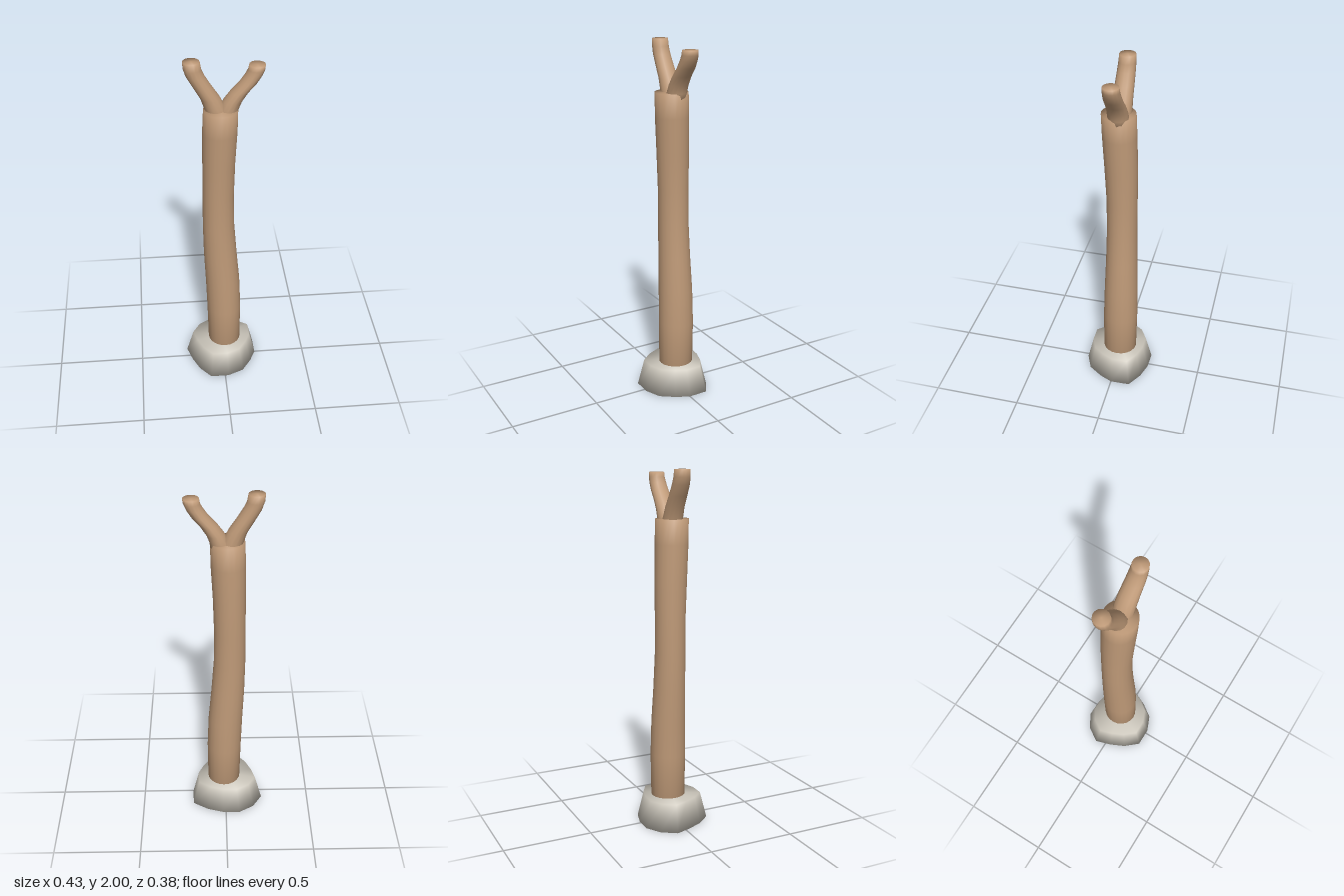
import * as THREE from 'three';

const wood = new THREE.MeshStandardMaterial({ color: 0xbf9a78 });
const stone = new THREE.MeshStandardMaterial({ color: 0xcbc6bb });

// Closed skin over a stack of rings (bottom to top), smooth over shared corners
function loft(name, rings, material) {
  const n = rings[0].length, points = rings.flat(), index = [];
  for (let i = 0; i < rings.length - 1; i++) {
    for (let j = 0; j < n; j++) {
      const a = i * n + j, b = i * n + (j + 1) % n;
      index.push(a, a + n, b, b, a + n, b + n);
    }
  }
  const mean = ring => ring.reduce((s, p) => s.add(p), new THREE.Vector3()).divideScalar(n);
  const bottom = points.push(mean(rings[0])) - 1;
  const top = points.push(mean(rings[rings.length - 1])) - 1;
  const last = (rings.length - 1) * n;
  for (let j = 0; j < n; j++) {
    const k = (j + 1) % n;
    index.push(bottom, j, k, top, last + k, last + j);
  }
  const geometry = new THREE.BufferGeometry().setFromPoints(points);
  geometry.setIndex(index);
  geometry.computeVertexNormals();
  const mesh = new THREE.Mesh(geometry, material);
  mesh.name = name;
  return mesh;
}

// Level oval ring from its extents: [y, xMin, xMax, zMin, zMax]
function oval([y, x0, x1, z0, z1], sides) {
  return Array.from({ length: sides }, (_, j) => {
    const a = (j / sides) * Math.PI * 2;
    return new THREE.Vector3(
      (x0 + x1) / 2 + Math.cos(a) * (x1 - x0) / 2, y,
      (z0 + z1) / 2 + Math.sin(a) * (z1 - z0) / 2);
  });
}

const limb = (name, rows, sides) => loft(name, rows.map(r => oval(r, sides)), wood);

export function createModel() {
  const model = new THREE.Group();
  model.name = 'forkedPost';

  // Irregular tapered foot
  const outline = [
    [-0.08, -0.193], [0.02, -0.19], [0.11, -0.163], [0.197, -0.11], [0.2, 0], [0.165, 0.075],
    [0.11, 0.152], [0.02, 0.19], [-0.085, 0.19], [-0.15, 0.115], [-0.19, 0.03],
    [-0.218, -0.06], [-0.165, -0.143]];
  const footRing = (y, s) => outline.map(([x, z]) => new THREE.Vector3(x * s, y, z * s));
  model.add(loft('foot', [footRing(0, 1), footRing(0.152, 0.815)], stone));

  // Gently bent trunk
  model.add(limb('trunk', [
    [0.10, -0.083, 0.105, -0.11, 0.085],
    [0.40, -0.090, 0.107, -0.115, 0.085],
    [0.60, -0.097, 0.099, -0.112, 0.08],
    [0.80, -0.106, 0.081, -0.105, 0.074],
    [1.00, -0.110, 0.066, -0.10, 0.07],
    [1.20, -0.109, 0.063, -0.10, 0.071],
    [1.40, -0.108, 0.068, -0.10, 0.08],
    [1.60, -0.107, 0.078, -0.095, 0.09],
    [1.735, -0.101, 0.08, -0.09, 0.094]], 20));

  // Two curved prongs with level ends
  model.add(limb('rightProng', [
    [1.68, -0.08, 0.04, -0.063, 0.05],
    [1.735, -0.093, 0.02, -0.062, 0.049],
    [1.80, -0.115, -0.012, -0.06, 0.046],
    [1.86, -0.15, -0.052, -0.058, 0.043],
    [1.92, -0.184, -0.088, -0.056, 0.04],
    [1.96, -0.197, -0.106, -0.055, 0.037],
    [2.00, -0.2, -0.113, -0.053, 0.034]], 14));
  model.add(limb('leftProng', [
    [1.68, -0.04, 0.075, -0.063, 0.05],
    [1.735, -0.02, 0.083, -0.062, 0.05],
    [1.78, 0.003, 0.1, -0.06, 0.049],
    [1.83, 0.04, 0.132, -0.057, 0.047],
    [1.88, 0.085, 0.175, -0.054, 0.045],
    [1.92, 0.112, 0.2, -0.051, 0.043],
    [1.95, 0.127, 0.213, -0.048, 0.041],
    [1.975, 0.131, 0.216, -0.046, 0.04]], 14));

  return model;
}
